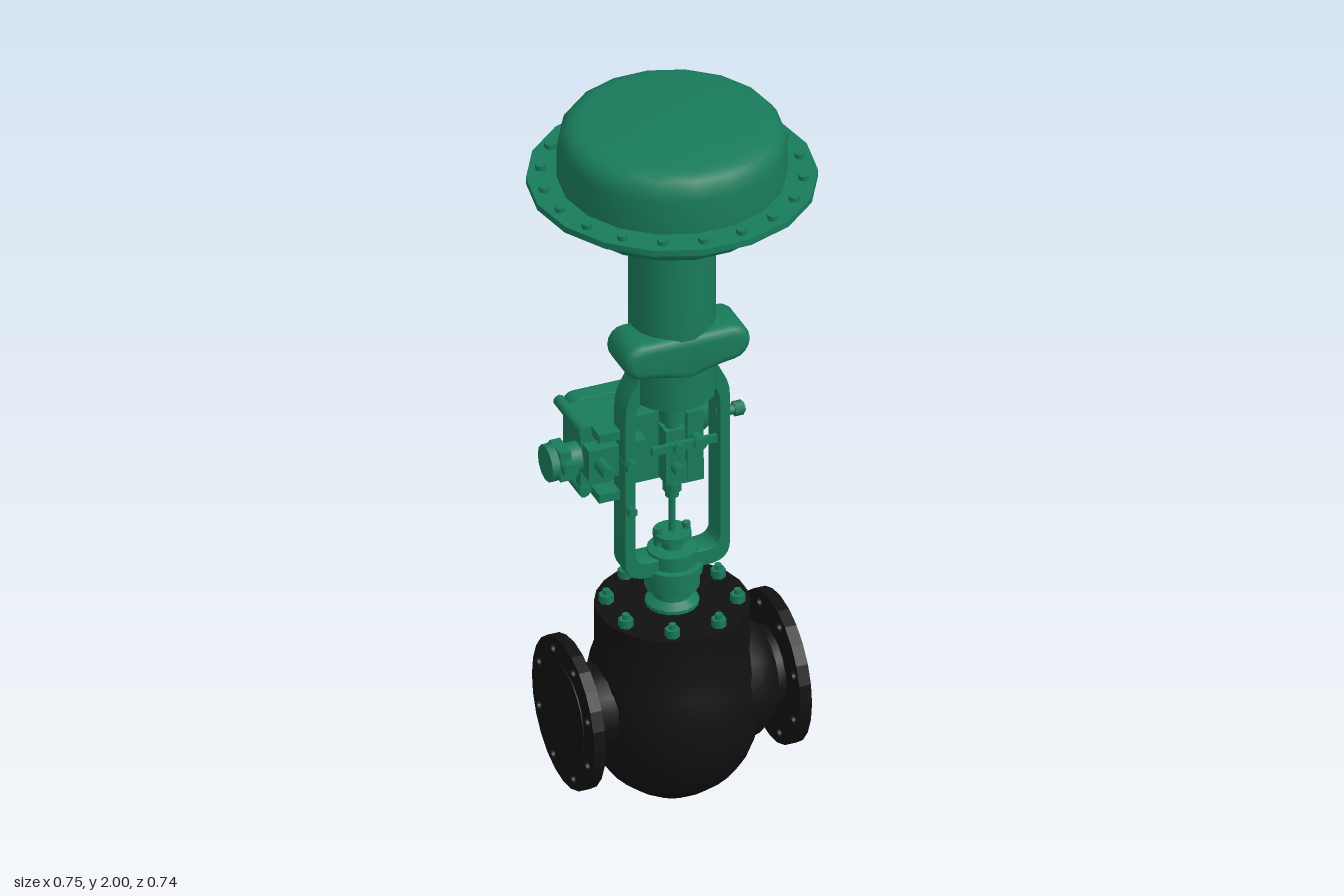
import * as THREE from 'three';
import { toCreasedNormals } from 'three/addons/utils/BufferGeometryUtils.js';
import { RoundedBoxGeometry } from 'three/addons/geometries/RoundedBoxGeometry.js';

const green = new THREE.MeshStandardMaterial({ color: 0x197b5b });
const black = new THREE.MeshStandardMaterial({ color: 0x111111 });

export function createModel() {
  const root = new THREE.Group();

  function add(name, geometry, material = green, x = 0, y = 0, z = 0, parent = root) {
    const mesh = new THREE.Mesh(geometry, material);
    mesh.name = name;
    mesh.position.set(x, y, z);
    parent.add(mesh);
    return mesh;
  }
  // Turned part from [radius, height] pairs, bottom to top
  function turned(profile, sides = 18) {
    const points = profile.map(([r, y]) => new THREE.Vector2(r, y));
    return toCreasedNormals(new THREE.LatheGeometry(points, sides, Math.PI / sides), 0.6);
  }
  const cyl = (r, h, sides = 18) => new THREE.CylinderGeometry(r, r, h, sides);
  const box = (name, w, h, d, x, y, z) => add(name, new THREE.BoxGeometry(w, h, d), green, x, y, z);
  function ring(name, count, radius, y, r, h, sides = 6) {
    const group = new THREE.Group();
    group.name = name + 's';
    const geometry = cyl(r, h, sides);
    for (let i = 0; i < count; i++) {
      const a = ((i + 0.5) / count) * Math.PI * 2;
      add(name, geometry, green, Math.sin(a) * radius, y, Math.cos(a) * radius, group);
    }
    root.add(group);
  }
  // Round part lying along x or z
  function lying(name, axis, r, h, x, y, z, sides = 16) {
    const mesh = add(name, cyl(r, h, sides), green, x, y, z);
    if (axis === 'x') mesh.rotation.z = Math.PI / 2;
    else mesh.rotation.x = Math.PI / 2;
    return mesh;
  }

  // Valve body
  add('valveBody', turned([
    [0, 0], [0.075, 0], [0.075, 0.02], [0.12, 0.03], [0.165, 0.068], [0.195, 0.11], [0.218, 0.17],
    [0.229, 0.24], [0.227, 0.31], [0.216, 0.37], [0.2, 0.42], [0.2, 0.55], [0, 0.55],
  ], 24), black);

  // Pipe necks and bolted end flanges
  const flangeShape = new THREE.Shape().absarc(0, 0, 0.205, 0, Math.PI * 2);
  for (let i = 0; i < 8; i++) {
    const a = ((i + 0.5) / 8) * Math.PI * 2;
    flangeShape.holes.push(new THREE.Path().absarc(Math.cos(a) * 0.172, Math.sin(a) * 0.172, 0.014, 0, Math.PI * 2, true));
  }
  const flangeGeometry = new THREE.ExtrudeGeometry(flangeShape, { depth: 0.032, bevelEnabled: false, curveSegments: 12 });
  for (const side of [-1, 1]) {
    const port = new THREE.Group();
    port.name = side > 0 ? 'leftPort' : 'rightPort';
    port.position.y = 0.285;
    port.rotation.y = side * Math.PI / 2;
    const neck = add('pipeNeck', turned(side > 0
      ? [[0.17, 0.1], [0.165, 0.19], [0.14, 0.23], [0.115, 0.25], [0.115, 0.28]]
      : [[0.14, 0.1], [0.115, 0.2], [0.112, 0.25], [0.125, 0.28]]), black, 0, 0, 0, port);
    neck.rotation.x = Math.PI / 2;
    add('endFlange', flangeGeometry, black, 0, 0, 0.27, port);
    const face = add('raisedFace', cyl(0.14, 0.004, 24), black, 0, 0, 0.303, port);
    face.rotation.x = Math.PI / 2;
    root.add(port);
  }

  // Bonnet studs and stem packing
  ring('bonnetNut', 8, 0.168, 0.56, 0.02, 0.025);
  ring('bonnetStud', 8, 0.168, 0.568, 0.01, 0.035, 8);
  add('bonnet', turned([
    [0.07, 0.55], [0.07, 0.56], [0.05, 0.575], [0.05, 0.595], [0.072, 0.605], [0.072, 0.645],
    [0.08, 0.65], [0.08, 0.672], [0.065, 0.675], [0.065, 0.715], [0.03, 0.72], [0.03, 0.74], [0, 0.74],
  ]));
  add('packingFlange', cyl(0.05, 0.014), green, 0, 0.757);
  ring('packingNut', 2, 0.04, 0.755, 0.011, 0.05);
  add('valveStem', cyl(0.009, 0.46, 10), green, 0, 0.96);

  // Yoke frame with two arms
  const yoke = new THREE.Shape();
  yoke.moveTo(-0.1, 1.29);
  yoke.bezierCurveTo(-0.112, 1.23, -0.145, 1.22, -0.145, 1.15);
  yoke.lineTo(-0.145, 0.72);
  yoke.quadraticCurveTo(-0.145, 0.662, -0.085, 0.662);
  yoke.lineTo(0.085, 0.662);
  yoke.quadraticCurveTo(0.145, 0.662, 0.145, 0.72);
  yoke.lineTo(0.145, 1.15);
  yoke.bezierCurveTo(0.145, 1.22, 0.112, 1.23, 0.1, 1.29);
  const opening = new THREE.Path();
  opening.moveTo(-0.08, 0.705);
  opening.quadraticCurveTo(-0.118, 0.705, -0.118, 0.74);
  opening.lineTo(-0.118, 1.14);
  opening.quadraticCurveTo(-0.118, 1.18, -0.09, 1.21);
  opening.lineTo(0.09, 1.21);
  opening.quadraticCurveTo(0.118, 1.18, 0.118, 1.14);
  opening.lineTo(0.118, 0.74);
  opening.quadraticCurveTo(0.118, 0.705, 0.08, 0.705);
  yoke.holes.push(opening);
  add('yoke', toCreasedNormals(new THREE.ExtrudeGeometry(yoke, {
    depth: 0.068, bevelThickness: 0.004, bevelSize: 0.002, bevelSegments: 1, curveSegments: 6,
  }), 0.6), green, 0, 0, -0.034);

  // Spring barrel
  add('springBarrel', turned([
    [0, 1.19], [0.112, 1.19], [0.112, 1.7], [0.145, 1.712], [0.145, 1.745], [0, 1.745],
  ]));
  ring('collarBolt', 10, 0.128, 1.695, 0.014, 0.03);

  // Front hood around the barrel
  const hood = new THREE.Shape();
  hood.moveTo(-0.125, 1.385);
  hood.bezierCurveTo(-0.16, 1.385, -0.16, 1.335, -0.125, 1.33);
  hood.quadraticCurveTo(-0.06, 1.322, 0, 1.3);
  hood.quadraticCurveTo(0.06, 1.322, 0.125, 1.33);
  hood.bezierCurveTo(0.16, 1.335, 0.16, 1.385, 0.125, 1.385);
  add('frontHood', toCreasedNormals(new THREE.ExtrudeGeometry(hood, {
    depth: 0.095, bevelThickness: 0.025, bevelSize: 0.024, bevelSegments: 4, curveSegments: 8,
  }), 0.7), green, 0, 0, -0.005);

  // Diaphragm casing and its bolted rim
  add('diaphragmCasing', turned([
    [0, 1.74], [0.25, 1.74], [0.274, 1.748], [0.29, 1.768], [0.295, 1.79], [0.295, 1.822],
    [0.374, 1.822], [0.374, 1.84], [0.295, 1.84], [0.295, 1.935], [0.29, 1.962], [0.275, 1.983],
    [0.255, 1.995], [0.23, 2], [0, 2],
  ]));
  ring('rimBolt', 20, 0.337, 1.831, 0.0145, 0.044);

  // Stem coupling and travel indicator
  add('actuatorStem', cyl(0.034, 0.1, 12), green, 0, 1.15);
  box('couplingBlock', 0.055, 0.16, 0.05, 0, 1.0, 0);
  add('couplingNeck', cyl(0.018, 0.3, 10), green, 0, 1.02);
  add('couplingNut', cyl(0.024, 0.03, 6), green, 0, 0.9);
  box('travelScale', 0.045, 0.2, 0.012, 0.075, 0.99, -0.03);
  box('feedbackArm', 0.18, 0.022, 0.012, 0.02, 1.035, 0.032);
  for (const y of [0.97, 1.035]) lying('couplingBolt', 'z', 0.015, 0.03, 0, y, 0.04, 6);
  lying('armPivot', 'z', 0.017, 0.04, 0.06, 1.035, 0.03, 12);

  // Positioner housing behind the yoke
  add('positionerHousing', new RoundedBoxGeometry(0.27, 0.17, 0.15, 3, 0.02), green, -0.09, 1.005, -0.125);
  box('positionerBackPlate', 0.29, 0.2, 0.03, -0.09, 1, -0.06);
  add('positionerCover', new RoundedBoxGeometry(0.2, 0.15, 0.09, 3, 0.03), green, -0.1, 1.01, -0.222);
  for (const x of [-0.225, 0.045]) for (const y of [0.91, 1.09]) {
    lying('coverLug', 'z', 0.016, 0.17, x, y, -0.125, 10);
  }
  box('mountingBracket', 0.16, 0.09, 0.05, -0.15, 1.01, -0.025);
  for (const y of [0.91, 1.09]) box('bracketTab', 0.07, 0.025, 0.055, -0.17, y, -0.02);
  for (const x of [-0.2, -0.132]) lying('bracketBolt', 'z', 0.018, 0.1, x, 1.015, 0.01, 6);
  lying('armBolt', 'z', 0.013, 0.1, -0.132, 0.88, 0.01, 6);
  box('lowerBracket', 0.06, 0.06, 0.05, 0.07, 0.91, -0.05);

  // Round terminal housing at the left end
  const cap = add('terminalHousing', turned([
    [0, 0], [0.066, 0], [0.066, 0.06], [0.08, 0.065], [0.08, 0.1], [0.07, 0.118], [0.045, 0.128], [0, 0.13],
  ], 20), green, 0.045, 1.012, -0.188);
  cap.rotation.z = -Math.PI / 2;

  // Air regulator at the right end
  lying('regulatorInlet', 'x', 0.025, 0.06, -0.235, 1.01, -0.07);
  lying('regulatorBody', 'x', 0.042, 0.05, -0.262, 1.01, -0.06);
  box('regulatorBlock', 0.03, 0.085, 0.075, -0.285, 1.01, -0.06);
  lying('regulatorKnob', 'x', 0.05, 0.022, -0.315, 1.01, -0.06, 12);
  lying('regulatorPort', 'z', 0.022, 0.13, -0.28, 1.01, -0.06, 10);

  // Side fitting on the left yoke arm
  lying('sideFitting', 'x', 0.014, 0.08, 0.155, 1.095, 0.01, 8);
  lying('sideFittingHead', 'x', 0.02, 0.025, 0.178, 1.095, 0.01, 6);

  return root;
}
